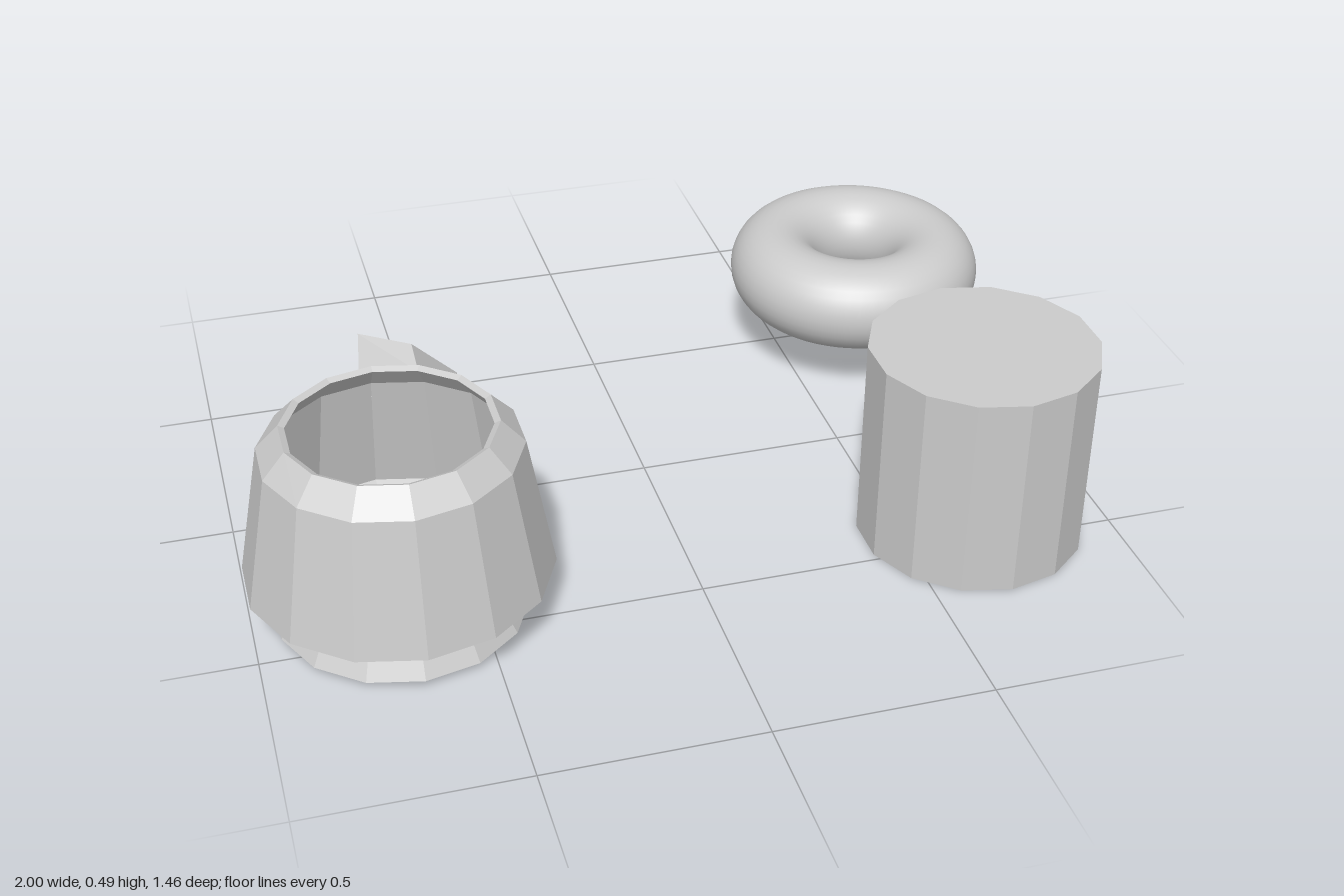
import * as THREE from 'three';

const SIDES = 14;

const grey = (options = {}) => new THREE.MeshStandardMaterial({ color: 0xcccccc, ...options });

function part(name, geometry, material, x = 0, y = 0, z = 0) {
  const mesh = new THREE.Mesh(geometry, material);
  mesh.name = name;
  mesh.position.set(x, y, z);
  return mesh;
}

// Joins four-cornered sections into a tube with open ends
function loft(sections) {
  const index = [];
  for (let i = 0; i < sections.length - 1; i++) {
    for (let j = 0; j < 4; j++) {
      const k = (j + 1) % 4;
      const a = i * 4 + j, b = i * 4 + k, c = b + 4, d = a + 4;
      index.push(a, b, d, b, c, d);
    }
  }
  const geometry = new THREE.BufferGeometry();
  geometry.setAttribute('position', new THREE.Float32BufferAttribute(sections.flat(2), 3));
  geometry.setIndex(index);
  geometry.computeVertexNormals();
  return geometry;
}

export function createModel() {
  const model = new THREE.Group();

  // Cup: base disc, foot ring, shoulder, rim, then the inner wall and floor
  const cup = new THREE.Group();
  cup.name = 'cup';
  const profile = [
    [0, 0], [0.187, 0], [0.235, 0.045], [0.258, 0.016], [0.285, 0.016],
    [0.25, 0.08], [0.346, 0.122], [0.288, 0.437], [0.236, 0.492],
    [0.222, 0.485], [0.265, 0.43], [0.315, 0.135], [0.24, 0.1], [0, 0.1],
  ].map(([r, y]) => new THREE.Vector2(r, y));
  const faceted = grey({ flatShading: true, side: THREE.DoubleSide });
  cup.add(part('cupBody', new THREE.LatheGeometry(profile, SIDES), faceted, -0.665, 0, 0.385));

  // Handle: twisted strap, each section outer pair then inner pair of corners
  const handleSections = [
    [[-0.69, 0.455, 0.12], [-0.56, 0.455, 0.14], [-0.555, 0.39, 0.13], [-0.69, 0.39, 0.11]],
    [[-0.67, 0.484, -0.01], [-0.56, 0.48, 0.06], [-0.57, 0.437, 0.085], [-0.67, 0.437, 0.03]],
    [[-0.575, 0.35, -0.073], [-0.45, 0.35, 0], [-0.48, 0.33, 0.05], [-0.6, 0.33, -0.03]],
    [[-0.555, 0.18, -0.098], [-0.43, 0.15, -0.005], [-0.46, 0.23, 0.028], [-0.58, 0.23, -0.06]],
    [[-0.67, 0.11, 0.06], [-0.5, 0.105, 0.09], [-0.51, 0.18, 0.11], [-0.68, 0.19, 0.075]],
  ];
  cup.add(part('cupHandle', loft(handleSections), faceted));
  model.add(cup);

  // Plain faceted cylinder
  const cylinder = new THREE.CylinderGeometry(0.264, 0.264, 0.492, SIDES);
  model.add(part('cylinder', cylinder, grey({ flatShading: true }), 0.675, 0.246, 0.423));

  // Smooth ring lying flat
  const ring = new THREE.TorusGeometry(0.206, 0.113, 32, 64).rotateX(-Math.PI / 2);
  model.add(part('ring', ring, grey(), 0.68, 0.247, -0.414));

  return model;
}
